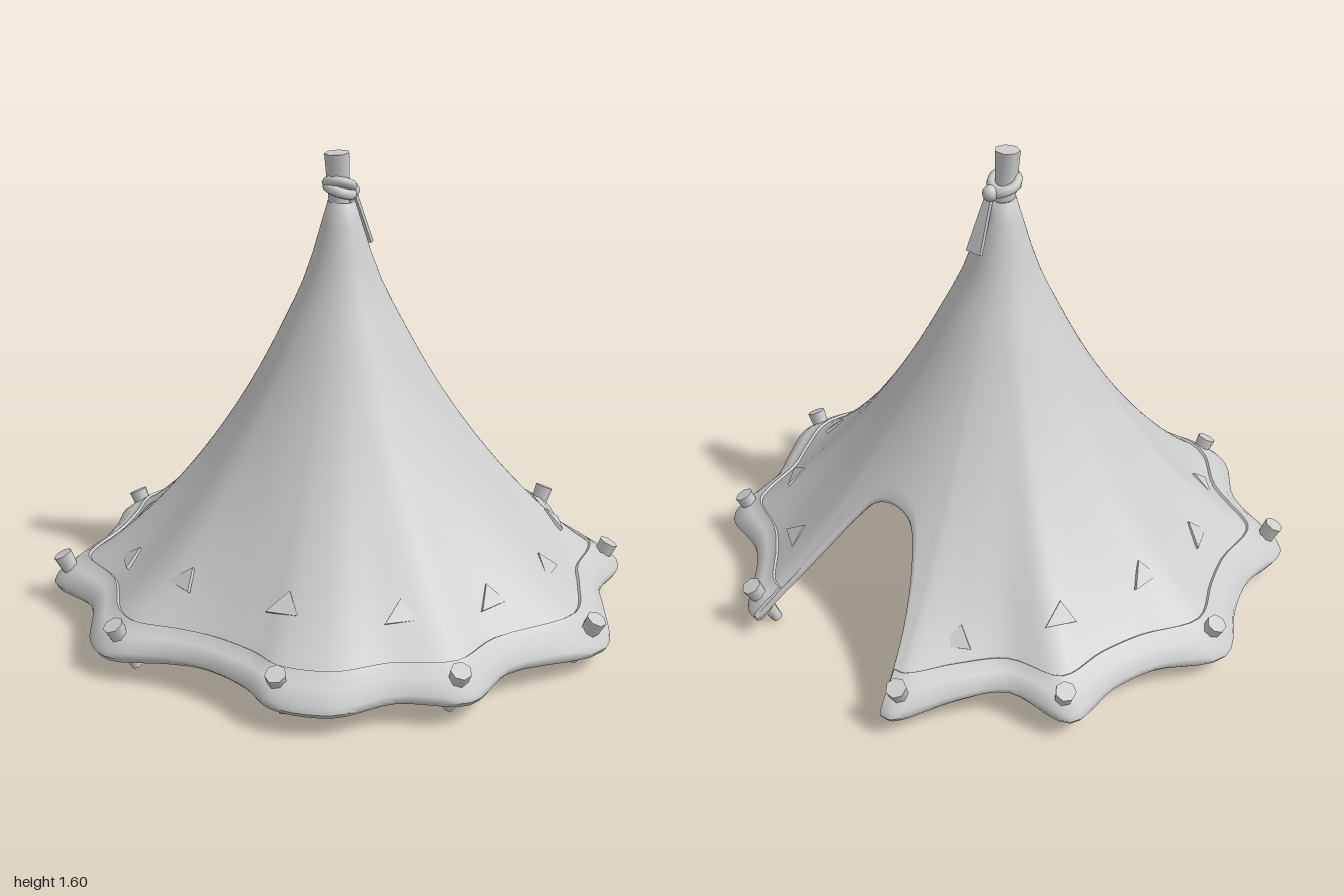
import * as THREE from 'three';
import { toCreasedNormals } from 'three/addons/utils/BufferGeometryUtils.js';

const V = (x, y, z) => new THREE.Vector3(x, y, z);

// Canvas slope: nominal radius -> height
const SLOPE = [[0.045, 1.44], [0.12, 1.2], [0.2, 1.03], [0.29, 0.86], [0.39, 0.7], [0.5, 0.55],
  [0.62, 0.41], [0.73, 0.3], [0.83, 0.215], [0.9, 0.165], [1, 0.09], [1.1, 0.03]];

function height(a) {
  let i = 0;
  while (i < SLOPE.length - 2 && a > SLOPE[i + 1][0]) i++;
  const grad = k => {
    const p = SLOPE[Math.max(k - 1, 0)], q = SLOPE[Math.min(k + 1, SLOPE.length - 1)];
    return (q[1] - p[1]) / (q[0] - p[0]);
  };
  const [x0, y0] = SLOPE[i], [x1, y1] = SLOPE[i + 1], d = x1 - x0, t = (a - x0) / d;
  const t2 = t * t, t3 = t2 * t;
  return y0 * (2 * t3 - 3 * t2 + 1) + grad(i) * d * (t3 - 2 * t2 + t)
    + y1 * (3 * t2 - 2 * t3) + grad(i + 1) * d * (t3 - t2);
}

// Point on the canvas at an angle; R is the rim radius there, off moves along the normal
function surface(angle, R, a, off = 0) {
  const at = s => [s * (1 + (R - 1) * s * s), height(s) + (1 - R) * 0.15 * s ** 4];
  const [r0, y0] = at(a), [r1, y1] = at(a + 0.004);
  const len = Math.hypot(r1 - r0, y1 - y0);
  const r = r0 - off * (y1 - y0) / len, y = y0 + off * (r1 - r0) / len;
  const shift = Math.max(0, 1 - a) ** 2;
  return V(r * Math.cos(angle) - 0.01 * shift, y, r * Math.sin(angle) + 0.02 * shift);
}

// Join closed cross-sections into a skin
function loft(sections, loop) {
  const n = sections[0].length, m = sections.length, index = [];
  for (let j = 0; j < (loop ? m : m - 1); j++) {
    for (let i = 0; i < n; i++) {
      const k = (j + 1) % m, l = (i + 1) % n;
      index.push(j * n + i, k * n + i, j * n + l, k * n + i, k * n + l, j * n + l);
    }
  }
  const g = new THREE.BufferGeometry().setFromPoints(sections.flat());
  g.setIndex(index);
  g.computeVertexNormals();
  return g;
}

// Tapered round stick between two points
function stick(from, to, rFrom, rTo, sides) {
  const dir = to.clone().sub(from);
  const g = new THREE.CylinderGeometry(rTo, rFrom, dir.length(), sides);
  g.applyQuaternion(new THREE.Quaternion().setFromUnitVectors(V(0, 1, 0), dir.clone().normalize()));
  g.translate(...from.clone().add(to).multiplyScalar(0.5).toArray());
  return toCreasedNormals(g, 0.95);
}

const RIM = [[0.3, -0.9], [0.355, -0.88], [0.47, -0.74], [0.57, -0.66], [0.77, -0.59], [0.8, -0.52],
  [0.82, -0.33], [0.89, -0.21], [0.985, -0.01], [0.81, 0.32], [0.785, 0.52], [0.6, 0.655],
  [0.475, 0.81], [0.295, 0.875], [0.17, 0.84], [0, 0.83], [-0.125, 0.855], [-0.32, 0.91],
  [-0.42, 0.87], [-0.57, 0.7], [-0.82, 0.61], [-0.85, 0.555], [-0.855, 0.345], [-0.905, 0.195],
  [-0.995, 0.01], [-0.87, -0.21], [-0.82, -0.37], [-0.8, -0.56], [-0.585, -0.61],
  [-0.475, -0.745], [-0.37, -0.92], [-0.33, -0.93]];
const DOORWAY = [[-0.33, -0.93], [-0.24, -0.73], [-0.155, -0.6], [-0.085, -0.535], [0, -0.52],
  [0.085, -0.535], [0.145, -0.59], [0.235, -0.74], [0.3, -0.9]];
const PEGS = [[-0.36, -0.89], [0.35, -0.87], [0.76, -0.55], [0.96, 0], [0.75, 0.52], [0.29, 0.84],
  [-0.32, 0.88], [-0.81, 0.59], [-0.95, 0.02], [-0.77, -0.55]];
const PATCHES = [[-0.39, -0.64], [-0.61, -0.39], [-0.7, -0.07], [-0.68, 0.27], [-0.51, 0.56],
  [-0.18, 0.68], [0.2, 0.66], [0.51, 0.48], [0.68, 0.21], [0.73, -0.09], [0.6, -0.42], [0.38, -0.63]];

const trace = (pts, n) => new THREE.CatmullRomCurve3(pts.map(([x, z]) => V(x, 0, z))).getPoints(n)
  .map(p => ({ angle: Math.atan2(p.z, p.x), r: Math.hypot(p.x, p.z) }));

// Nominal radius whose real radius is r
function nominal(r, R) {
  let a = r;
  for (let i = 0; i < 25; i++) a = r / (1 + (R - 1) * a * a);
  return a;
}

export function createModel() {
  const model = new THREE.Group();
  const canvas = new THREE.MeshStandardMaterial({ color: 0xcccccc, side: THREE.DoubleSide });
  const add = (name, geometry) => {
    const mesh = new THREE.Mesh(geometry, canvas);
    mesh.name = name;
    model.add(mesh);
    return mesh;
  };

  // Columns running round the rim, then round the doorway
  const rim = trace(RIM, 155).map(p => ({ angle: p.angle, R: p.r, a: 1 }));
  const R0 = rim[rim.length - 1].R, R1 = rim[0].R;
  const door = trace(DOORWAY, 56).map((p, i) => {
    const R = THREE.MathUtils.lerp(R0, R1, i / 56);
    return { angle: p.angle, R, a: nominal(p.r, R) };
  }).slice(1, -1);

  // Canvas cover with thickness
  const rows = 22;
  add('canvasCover', loft([...rim, ...door].map(({ angle, R, a }) => {
    const outer = [], inner = [];
    for (let i = 0; i <= rows; i++) {
      const s = 0.045 + (a - 0.045) * (i / rows) ** 1.2;
      outer.push(surface(angle, R, s));
      inner.unshift(surface(angle, R, s, -0.024));
    }
    return [...outer, surface(angle, R, a + 0.008, -0.012), ...inner];
  }), true));

  // Raised hem folded around the rim
  const fold = [[0.885, -0.004], [0.888, 0.009], [0.93, 0.01], [0.937, 0.015], [0.995, 0.013],
    [1.01, 0], [1.01, -0.022], [0.995, -0.034], [0.95, -0.03], [0.945, -0.02]];
  add('hem', toCreasedNormals(loft(rim.map(({ angle, R }) =>
    fold.map(([a, off]) => surface(angle, R, a, off))), false), 0.8));

  // Triangular patches above the hem
  const triangle = new THREE.Shape([[-0.055, -0.03], [0.05, -0.03], [0.01, 0.045]]
    .map(p => new THREE.Vector2(...p)));
  const patchShape = new THREE.ExtrudeGeometry(triangle, { depth: 0.012, bevelEnabled: false });
  for (const [x, z] of PATCHES) {
    const angle = Math.atan2(z, x);
    const { R } = rim.reduce((b, c) =>
      Math.cos(c.angle - angle) > Math.cos(b.angle - angle) ? c : b);
    const a = nominal(Math.hypot(x, z), R);
    const pos = surface(angle, R, a, -0.005);
    const up = surface(angle, R, a - 0.02).sub(surface(angle, R, a + 0.02)).normalize();
    const side = V(Math.sin(angle), 0, -Math.cos(angle));
    const out = side.clone().cross(up).normalize();
    const m = new THREE.Matrix4().makeBasis(side, up, out).setPosition(pos);
    add('patch', patchShape.clone().applyMatrix4(m));
  }

  // Pegs leaning outward through the rim
  for (const [x, z] of PEGS) {
    const d = V(x, 0, z).normalize();
    const top = V(x, 0.185, z), bottom = V(x, 0.015, z).addScaledVector(d, -0.08);
    add('peg', stick(bottom, top, 0.02, 0.034, 7));
  }

  // Centre pole and its thicker tip
  add('pole', stick(V(-0.008, 0.005, 0.01), V(-0.012, 1.45, 0.028), 0.024, 0.024, 10));
  add('poleTip', stick(V(-0.01, 1.4, 0.025), V(-0.014, 1.6, 0.036), 0.034, 0.042, 7));

  // Rope tied round the top
  for (const [tiltX, tiltZ, y] of [[-0.45, 0.12, 1.495], [-0.2, -0.25, 1.475]]) {
    const ring = add('rope', new THREE.TorusGeometry(0.042, 0.017, 8, 24).rotateX(Math.PI / 2));
    ring.rotation.set(tiltX, 0, tiltZ);
    ring.position.set(-0.012, y, 0.024);
  }
  const knot = add('knot', new THREE.SphereGeometry(0.027, 12, 8));
  knot.position.set(0, 1.468, -0.03);

  // Loose rope end, widening as it hangs
  const tail = new THREE.BoxGeometry(0.06, 0.18, 0.014);
  const p = tail.attributes.position;
  for (let i = 0; i < p.count; i++) if (p.getY(i) > 0) p.setX(i, p.getX(i) * 0.45);
  const end = add('ropeEnd', tail);
  end.position.set(0.004, 1.365, -0.07);
  end.rotation.x = 0.4;
  return model;
}
